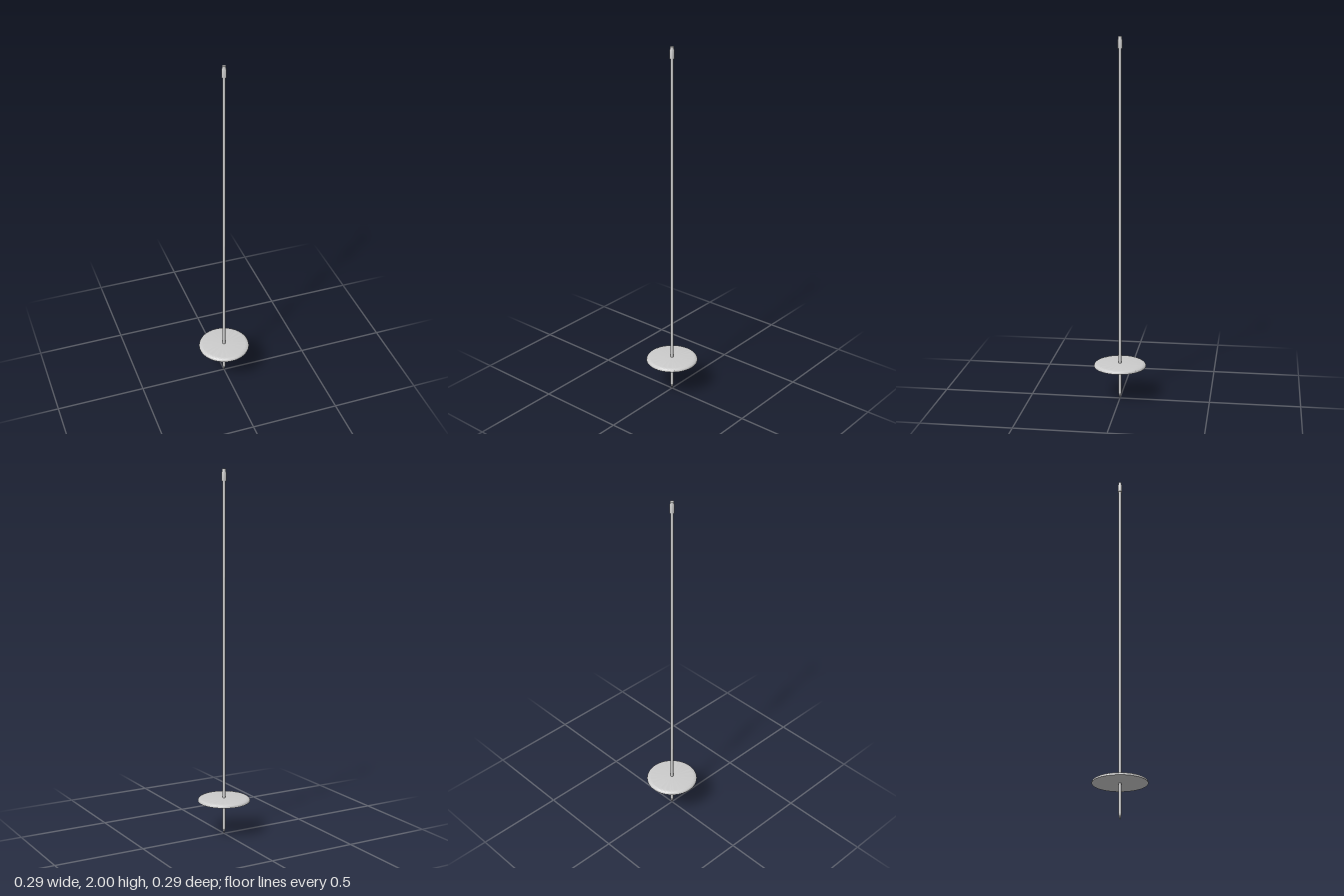
import * as THREE from 'three';
import { toCreasedNormals } from 'three/addons/utils/BufferGeometryUtils.js';

const material = new THREE.MeshStandardMaterial({ color: 0xcccccc });

// Turned part from [radius, height] pairs, bottom to top
function turned(name, profile, sides) {
  const points = profile.map(([r, y]) => new THREE.Vector2(r, y));
  const geometry = toCreasedNormals(new THREE.LatheGeometry(points, sides), 0.6);
  const mesh = new THREE.Mesh(geometry, material);
  mesh.name = name;
  return mesh;
}

export function createModel() {
  const group = new THREE.Group();
  group.name = 'pole';

  // Long shaft with a pointed lower end
  group.add(turned('shaft', [[0, 0.03], [0.008, 0.03], [0.008, 1.94], [0, 1.94]], 32));
  group.add(turned('tip', [[0, 0], [0.002, 0.002], [0.008, 0.03], [0, 0.03]], 32));

  // Flat-bottomed disc with a rounded upper rim
  const disc = [[0, 0.19], [0.145, 0.19], [0.145, 0.193]];
  for (let i = 1; i <= 8; i++) {
    const a = (i / 8) * Math.PI / 2;
    disc.push([0.123 + 0.022 * Math.cos(a), 0.193 + 0.014 * Math.sin(a)]);
  }
  disc.push([0, 0.207]);
  group.add(turned('disc', disc, 96));

  // Cap at the upper end, narrowing at its top
  group.add(turned('cap', [
    [0, 1.937], [0.0125, 1.937], [0.0125, 1.98], [0.0095, 1.99], [0.0095, 2], [0, 2],
  ], 32));

  return group;
}
